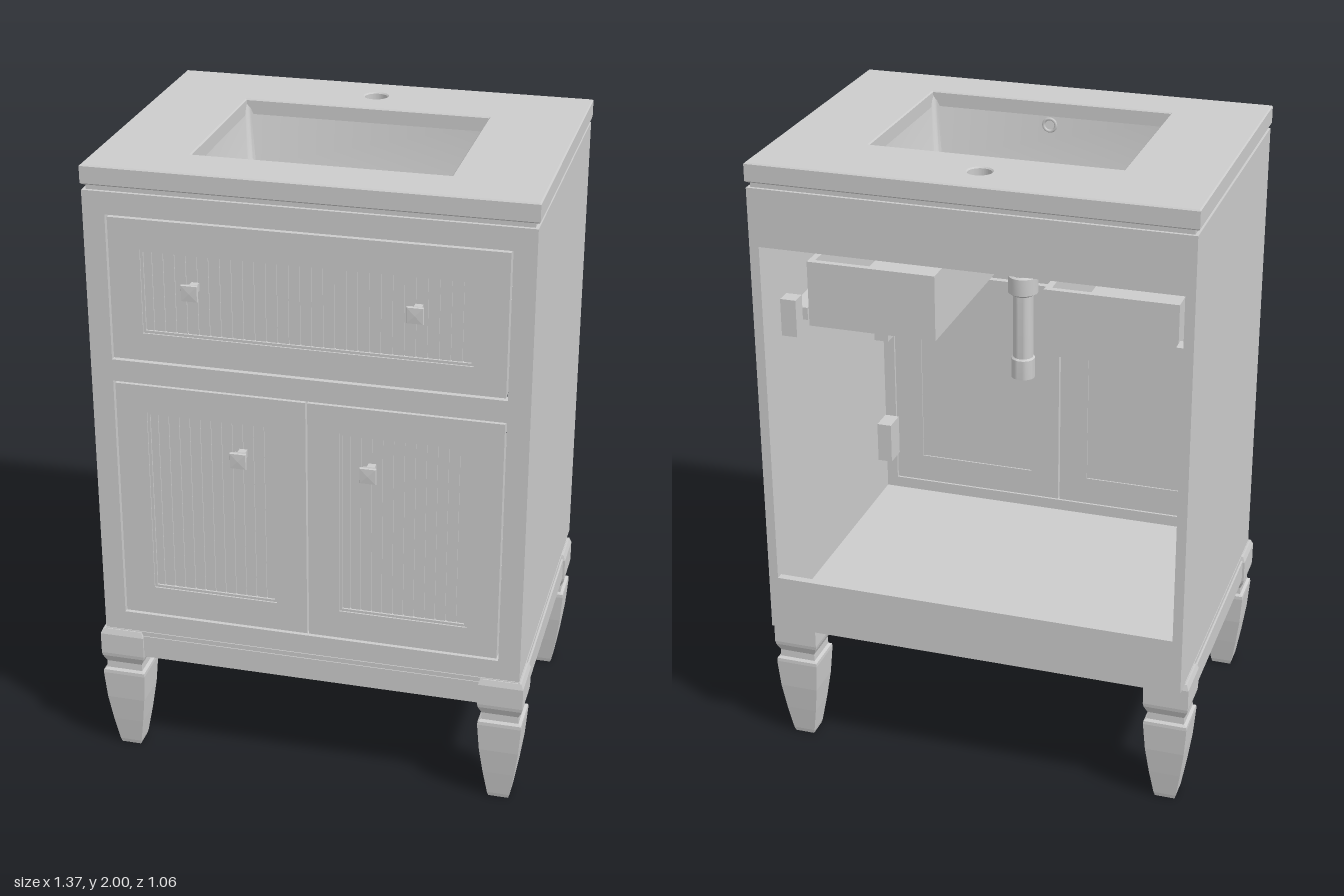
import * as THREE from 'three';
import { toCreasedNormals } from 'three/addons/utils/BufferGeometryUtils.js';

const grey = new THREE.MeshStandardMaterial({ color: 0xcccccc });
const greyThin = new THREE.MeshStandardMaterial({ color: 0xcccccc, side: THREE.DoubleSide });

function add(parent, name, geometry, material = grey) {
  const mesh = new THREE.Mesh(geometry, material);
  mesh.name = name;
  parent.add(mesh);
  return mesh;
}

// Box given by its limits on each axis
function box(parent, name, x0, x1, y0, y1, z0, z1) {
  const mesh = add(parent, name, new THREE.BoxGeometry(x1 - x0, y1 - y0, z1 - z0));
  mesh.position.set((x0 + x1) / 2, (y0 + y1) / 2, (z0 + z1) / 2);
  return mesh;
}

function rectPath(x0, x1, y0, y1, Type = THREE.Path) {
  const p = new Type();
  p.moveTo(x0, y0);
  p.lineTo(x1, y0);
  p.lineTo(x1, y1);
  p.lineTo(x0, y1);
  p.closePath();
  return p;
}

// Flat board facing +z with rectangular openings
function board(parent, name, outer, holes, z0, z1) {
  const shape = rectPath(...outer, THREE.Shape);
  holes.forEach((h) => shape.holes.push(rectPath(...h)));
  const mesh = add(parent, name, new THREE.ExtrudeGeometry(shape, { depth: z1 - z0, bevelEnabled: false }));
  mesh.position.z = z0;
  return mesh;
}

// Square turned solid: profile of [half width, y]
function squareTurned(profile) {
  const pts = profile.map(([h, y]) => new THREE.Vector2(h * Math.SQRT2, y));
  const g = new THREE.LatheGeometry(pts, 4, Math.PI / 4).toNonIndexed();
  g.computeVertexNormals();
  return g;
}

// Skin through rounded rectangles: [halfX, halfZ, cornerRadius, y]
function loft(rings) {
  const pos = [], idx = [], n = 24;
  for (const [hx, hz, r, y] of rings) {
    for (let c = 0; c < 4; c++) {
      const sx = c === 0 || c === 3 ? 1 : -1, sz = c < 2 ? 1 : -1;
      for (let k = 0; k < 6; k++) {
        const a = (c + k / 5) * Math.PI / 2;
        pos.push(sx * (hx - r) + r * Math.cos(a), y, sz * (hz - r) + r * Math.sin(a));
      }
    }
  }
  for (let i = 0; i < rings.length - 1; i++) {
    for (let j = 0; j < n; j++) {
      const a = i * n + j, b = i * n + (j + 1) % n;
      idx.push(a, b, a + n, b, b + n, a + n);
    }
  }
  const g = new THREE.BufferGeometry();
  g.setAttribute('position', new THREE.Float32BufferAttribute(pos, 3));
  g.setIndex(idx);
  return toCreasedNormals(g, 0.6);
}

// Framed front with a recessed beadboard panel
function framedFront(parent, name, outer, inner) {
  const front = new THREE.Group();
  front.name = name;
  parent.add(front);
  const [x0, x1, y0, y1] = inner;
  board(front, 'frontFrame', outer, [inner], 0.44, 0.474);
  board(front, 'panelMoulding', inner, [[x0 + 0.008, x1 - 0.008, y0 + 0.008, y1 - 0.008]], 0.45, 0.469);
  box(front, 'panelBacking', x0, x1, y0, y1, 0.445, 0.458);
  const count = Math.round((x1 - x0) / 0.034), pitch = (x1 - x0) / count;
  for (let i = 0; i < count; i++) {
    box(front, 'beadStrip', x0 + i * pitch + 0.002, x0 + (i + 1) * pitch - 0.002, y0, y1, 0.456, 0.463);
  }
}

export function createModel() {
  const model = new THREE.Group();
  model.name = 'vanityCabinet';

  // Cabinet carcass, open at the back
  for (const s of [-1, 1]) {
    const side = box(model, 'sidePanel', -0.015, 0.015, 0.45, 1.925, -0.53, 0.45);
    side.position.x = s * 0.655;
  }
  box(model, 'cabinetFloor', -0.64, 0.64, 0.45, 0.48, -0.51, 0.45);
  box(model, 'backTopRail', -0.64, 0.64, 1.745, 1.925, -0.53, -0.505);
  box(model, 'backBottomRail', -0.64, 0.64, 0.45, 0.63, -0.53, -0.505);
  board(model, 'faceFrame', [-0.67, 0.67, 0.45, 1.925],
    [[-0.602, 0.602, 0.518, 1.325], [-0.602, 0.602, 1.395, 1.855]], 0.445, 0.476);
  board(model, 'topSpacer', [-0.66, 0.66, -0.465, 0.52], [[-0.46, 0.46, -0.36, 0.34]], 0, 0.02)
    .rotation.x = -Math.PI / 2;
  model.children.at(-1).position.y = 1.922;

  // Drawer front and doors
  framedFront(model, 'drawerFront', [-0.596, 0.596, 1.402, 1.848], [-0.5, 0.5, 1.49, 1.755]);
  framedFront(model, 'rightDoor', [-0.596, -0.003, 0.525, 1.318], [-0.5, -0.1, 0.62, 1.23]);
  framedFront(model, 'leftDoor', [0.003, 0.596, 0.525, 1.318], [0.1, 0.5, 0.62, 1.23]);

  // Square flared knobs
  const knobShape = squareTurned([[0, 0], [0.012, 0], [0.012, 0.025], [0.016, 0.03], [0.026, 0.058], [0.024, 0.063], [0, 0.065]]);
  for (const [x, y] of [[0.335, 1.652], [0.2, 1.125]]) {
    for (const s of [-1, 1]) {
      const knob = add(model, 'knob', knobShape);
      knob.rotation.x = Math.PI / 2;
      knob.position.set(s * x, y, 0.463);
    }
  }

  // Base rails on the front and sides
  box(model, 'frontBaseRail', -0.56, 0.56, 0.362, 0.437, 0.45, 0.482);
  box(model, 'baseMoulding', -0.672, 0.672, 0.435, 0.452, 0.44, 0.479);
  for (const s of [-1, 1]) {
    const rail = box(model, 'sideBaseRail', -0.015, 0.015, 0.362, 0.437, -0.36, 0.37);
    rail.position.x = s * 0.663;
    const trim = box(model, 'baseSideMoulding', -0.016, 0.016, 0.435, 0.452, -0.47, 0.45);
    trim.position.x = s * 0.656;
    const cleat = box(model, 'sideCleat', -0.02, 0.02, 0.405, 0.45, -0.22, 0.22);
    cleat.position.x = s * 0.63;
  }
  for (const x of [-0.35, 0, 0.35]) box(model, 'frontCleat', x - 0.1, x + 0.1, 0.41, 0.45, 0.42, 0.45);

  // Tapered square legs
  const legShape = squareTurned([[0, 0], [0.032, 0], [0.036, 0.014], [0.05, 0.1], [0.062, 0.19], [0.069, 0.285],
    [0.068, 0.296], [0.059, 0.302], [0.058, 0.325], [0.069, 0.35], [0.071, 0.362], [0.071, 0.432], [0.064, 0.45], [0, 0.45]]);
  for (const x of [-0.614, 0.614]) {
    for (const z of [-0.412, 0.419]) add(model, 'leg', legShape).position.set(x, 0, z);
  }

  // Countertop slab with basin and tap openings
  const slab = rectPath(-0.67, 0.67, -0.47, 0.525, THREE.Shape);
  slab.holes.push(rectPath(-0.393, 0.393, -0.308, 0.268));
  const tapHole = new THREE.Path();
  tapHole.absarc(0, 0.397, 0.04, 0, Math.PI * 2, true);
  slab.holes.push(tapHole);
  const top = add(model, 'countertop', new THREE.ExtrudeGeometry(slab, {
    depth: 0.052, bevelThickness: 0.004, bevelSize: 0.004, bevelSegments: 1, curveSegments: 24 }));
  top.rotation.x = -Math.PI / 2;
  top.position.y = 1.944;

  // Basin: inner bowl running into the drain, and outer shell
  const basin = new THREE.Group();
  basin.name = 'basin';
  basin.position.set(0, 0, 0.02);
  model.add(basin);
  add(basin, 'basinBowl', loft([[0.396, 0.291, 0.012, 1.994], [0.39, 0.285, 0.02, 1.97], [0.38, 0.275, 0.03, 1.79],
    [0.372, 0.267, 0.04, 1.77], [0.35, 0.245, 0.05, 1.76], [0.064, 0.064, 0.064, 1.745], [0.055, 0.055, 0.055, 1.73]]), greyThin);
  add(basin, 'basinShell', loft([[0.43, 0.325, 0.03, 1.945], [0.42, 0.315, 0.03, 1.9], [0.37, 0.285, 0.04, 1.72],
    [0.355, 0.27, 0.05, 1.708], [0.03, 0.03, 0.03, 1.705]]), greyThin);
  const overflow = add(basin, 'overflowRing', new THREE.TorusGeometry(0.02, 0.005, 8, 24));
  overflow.position.set(0, 1.925, 0.28);

  // Drain fitting and tailpiece
  const drain = [[0, 1.738], [0.042, 1.736], [0.045, 1.73], [0.055, 1.73], [0.055, 1.7], [0.04, 1.69], [0.04, 1.53],
    [0.048, 1.525], [0.048, 1.47], [0.032, 1.46], [0.032, 1.25], [0.038, 1.245], [0.038, 1.18], [0, 1.18]];
  const drainGeo = new THREE.LatheGeometry(drain.reverse().map((p) => new THREE.Vector2(...p)), 24);
  add(basin, 'drainPipe', toCreasedNormals(drainGeo, 0.6));

  // Drawer: two open boxes around the drain, joined at the front
  const drawer = new THREE.Group();
  drawer.name = 'drawerBox';
  model.add(drawer);
  for (const s of [-1, 1]) {
    const xs = (a, b) => (s > 0 ? [a, b] : [-b, -a]);
    box(drawer, 'drawerOuterWall', ...xs(0.56, 0.58), 1.42, 1.63, -0.325, 0.44);
    box(drawer, 'drawerInnerWall', ...xs(0.17, 0.19), 1.42, 1.63, -0.325, 0.3);
    box(drawer, 'drawerBackWall', ...xs(0.19, 0.56), 1.42, 1.63, -0.325, -0.305);
    box(drawer, 'drawerFloor', ...xs(0.19, 0.56), 1.43, 1.445, -0.305, 0.44);
    box(model, 'drawerSlide', ...xs(0.582, 0.64), 1.44, 1.48, -0.33, 0.44);
    box(model, 'slideBracket', ...xs(0.59, 0.64), 1.41, 1.53, -0.4, -0.35);
    for (const y of [0.69, 1.15]) {
      box(model, 'hingePlate', ...xs(0.59, 0.64), y - 0.07, y + 0.07, 0.36, 0.44);
    }
  }
  box(drawer, 'drawerJoiningFloor', -0.19, 0.19, 1.43, 1.445, 0.3, 0.44);
  box(drawer, 'drawerJoiningWall', -0.19, 0.19, 1.42, 1.63, 0.28, 0.3);

  return model;
}
